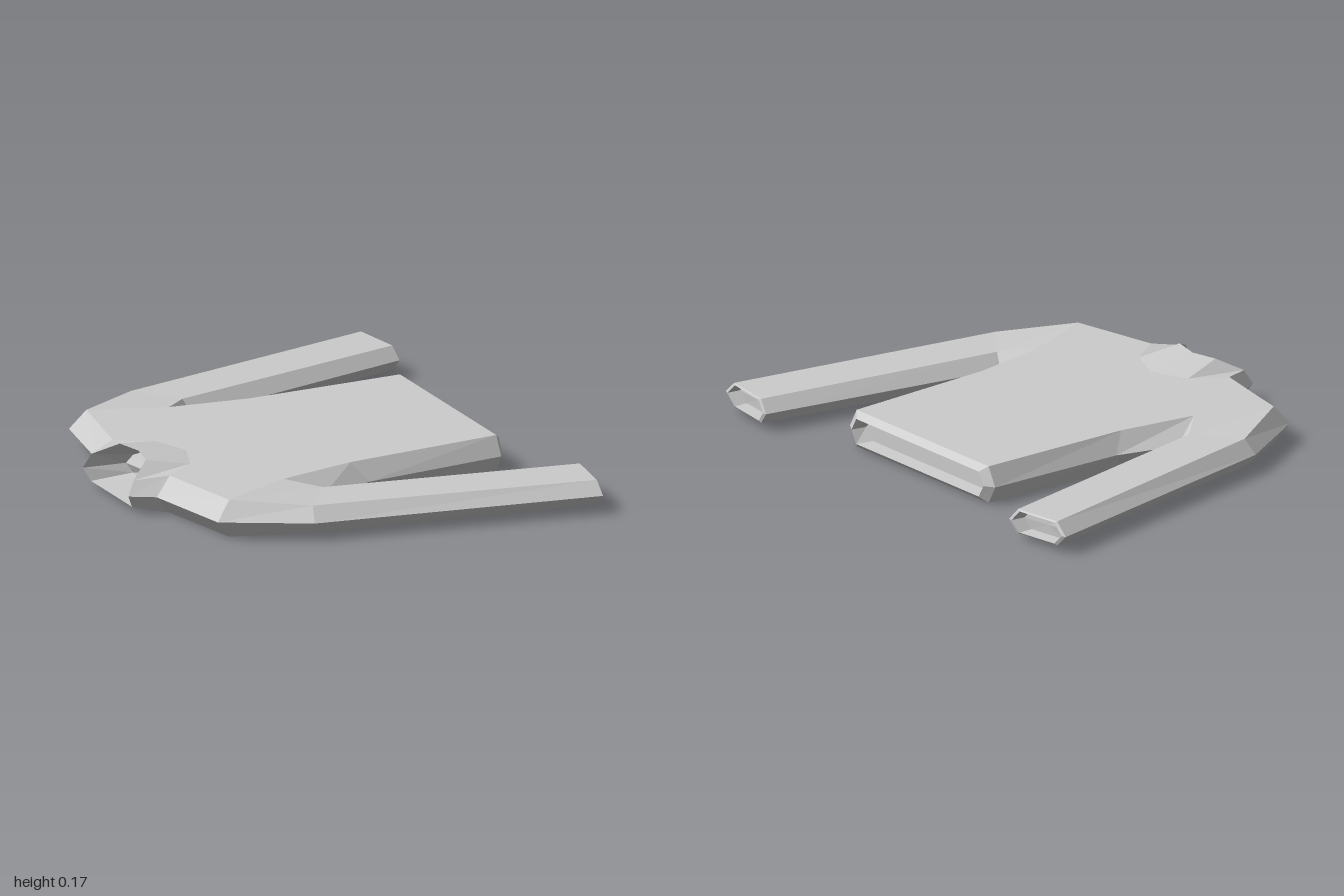
import * as THREE from 'three';

const MID = 0.075; // height of the side seam

const material = () => new THREE.MeshStandardMaterial({
  color: 0xcccccc, flatShading: true, side: THREE.DoubleSide,
});

// Surface between two point rows of equal length
function strip(tris, a, b, closed = false) {
  const n = a.length;
  for (let i = 0; i < (closed ? n : n - 1); i++) {
    const j = (i + 1) % n;
    tris.push([a[i], a[j], b[i]], [a[j], b[j], b[i]]);
  }
}

// Closed loft through rings, ending in a flat cap
function loft(rings) {
  const tris = [];
  for (let i = 0; i < rings.length - 1; i++) strip(tris, rings[i], rings[i + 1], true);
  const last = rings[rings.length - 1];
  const c = [0, 1, 2].map((k) => last.reduce((s, p) => s + p[k], 0) / last.length);
  strip(tris, last, last.map(() => c), true);
  return tris;
}

const mirrorZ = (tris) => tris.map((t) => [t[0], t[2], t[1]].map(([x, y, z]) => [x, y, -z]));

function addMesh(group, name, tris) {
  const g = new THREE.BufferGeometry();
  g.setAttribute('position', new THREE.Float32BufferAttribute(tris.flat(2), 3));
  g.computeVertexNormals();
  const mesh = new THREE.Mesh(g, material());
  mesh.name = name;
  group.add(mesh);
}

// Hexagonal section: [x, z] of outer crease, outer seam, inner crease, inner seam
function hexRing(y, [ox, oz], [sx, sz], [ix, iz], [tx, tz]) {
  const low = 2 * MID - y;
  return [[ox, y, oz], [sx, MID, sz], [ox, low, oz], [ix, low, iz], [tx, MID, tz], [ix, y, iz]];
}

// Section symmetric about z = 0
const bodyRing = (y, x, z, seamX, seamZ) =>
  hexRing(y, [x, z], [seamX, seamZ], [x, -z], [seamX, -seamZ]);

// Copy of a ring shrunk towards its centre and shifted in x
function inset(ring, s, dx) {
  const c = [0, 1, 2].map((k) => ring.reduce((t, p) => t + p[k], 0) / ring.length);
  return ring.map((p) => p.map((v, k) => c[k] + (v - c[k]) * s + (k === 0 ? dx : 0)));
}

export function createModel() {
  const group = new THREE.Group();
  group.name = 'sweater';

  // Torso from the armpits to the hollow hem
  addMesh(group, 'torso', loft([
    bodyRing(0.148, -0.3, 0.46, -0.17, 0.522),
    bodyRing(0.148, 0.01, 0.408, 0.07, 0.452),
    bodyRing(0.148, 0.635, 0.388, 0.635, 0.427),
    bodyRing(0.125, 0.66, 0.36, 0.66, 0.388),
    bodyRing(0.12, 0.6, 0.335, 0.6, 0.375),
  ]));

  // Sleeves from the shoulder to the hollow cuff
  const cuff = hexRing(0.123, [0.765, 0.95], [0.765, 1.0], [0.795, 0.755], [0.805, 0.715]);
  const sleeve = loft([
    hexRing(0.148, [-0.59, 0.575], [-0.65, 0.6], [-0.3, 0.46], [-0.17, 0.522]),
    hexRing(0.13, [-0.32, 0.733], [-0.335, 0.778], [-0.19, 0.565], [-0.17, 0.522]),
    cuff,
    inset(cuff, 0.88, 0.004),
    inset(cuff, 0.82, -0.05),
  ]);
  addMesh(group, 'leftSleeve', sleeve);
  addMesh(group, 'rightSleeve', mirrorZ(sleeve));

  // Half paths around the neck, from top centre round the side to bottom centre
  const neckBase = [
    [-0.47, 0.148, 0], [-0.53, 0.148, 0.145], [-0.66, 0.148, 0.23], [-0.72, MID, 0.24],
    [-0.66, 0.002, 0.23], [-0.64, 0.002, 0.13], [-0.62, 0.002, 0],
  ];
  const neckRim = [
    [-0.67, 0.177, 0], [-0.695, 0.177, 0.105], [-0.78, 0.13, 0.17], [-0.81, MID, 0.185],
    [-0.785, 0.025, 0.165], [-0.785, 0.025, 0.1], [-0.785, 0.025, 0],
  ];
  const neckInside = [
    [-0.6, 0.135, 0], [-0.6, 0.135, 0.09], [-0.62, 0.11, 0.14], [-0.64, MID, 0.16],
    [-0.62, 0.04, 0.14], [-0.62, 0.03, 0.09], [-0.62, 0.03, 0],
  ];

  // Yoke: chest, back and shoulder slopes between neck and armpits
  const shoulder = [[-0.59, 0.148, 0.575], [-0.65, MID, 0.6], [-0.59, 0.002, 0.575]];
  const yoke = [];
  strip(yoke, [shoulder[0], [-0.3, 0.148, 0.46], [-0.3, 0.148, 0]],
    [neckBase[2], neckBase[1], neckBase[0]]);
  strip(yoke, neckBase.slice(4), [shoulder[2], [-0.3, 0.002, 0.46], [-0.3, 0.002, 0]]);
  strip(yoke, neckBase.slice(2, 5), shoulder);
  addMesh(group, 'yoke', [...yoke, ...mirrorZ(yoke)]);

  // Raised collar with its hollow inside
  const collar = [];
  strip(collar, neckRim, neckBase);
  strip(collar, neckInside, neckRim);
  strip(collar, neckInside.map(() => [-0.61, MID, 0]), neckInside);
  addMesh(group, 'collar', [...collar, ...mirrorZ(collar)]);

  return group;
}
